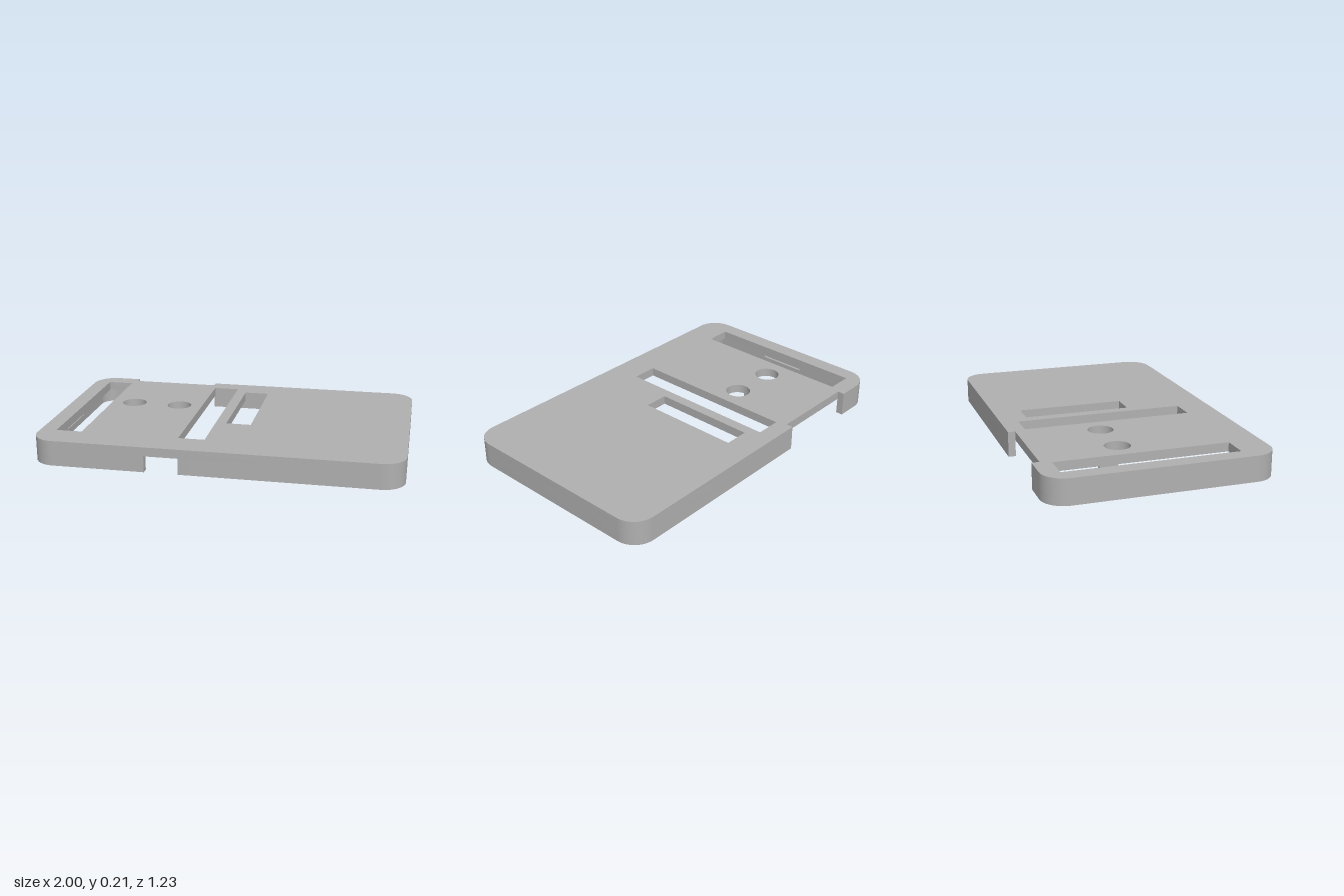
import * as THREE from 'three';
import { toCreasedNormals } from 'three/addons/utils/BufferGeometryUtils.js';

const D = 0.613;  // half depth
const R = 0.125;  // outer corner radius
const T = 0.04;   // wall thickness
const TOP = 0.21, UNDER = 0.16, RIM = 0.07; // plate top, plate underside, wall bottom

// Points of a rounded corner; sx and sz choose the corner, from angle a to b
function corner(sx, sz, r, fromBackOrFront) {
  const pts = [];
  for (let i = 0; i <= 12; i++) {
    const t = (fromBackOrFront ? i : 12 - i) / 12 * Math.PI / 2;
    pts.push(new THREE.Vector2(sx * (1 - R + r * Math.sin(t)), sz * (D - R + r * Math.cos(t))));
  }
  return pts;
}

const v = (x, z) => new THREE.Vector2(x, z);

// Extrudes an (x, z) outline downwards from yTop to yBottom
function slab(shape, yTop, yBottom) {
  const geo = new THREE.ExtrudeGeometry(shape, { depth: yTop - yBottom, bevelEnabled: false, curveSegments: 24 });
  geo.rotateX(Math.PI / 2);
  geo.translate(0, yTop, 0);
  return toCreasedNormals(geo, 0.5);
}

// C-shaped half of the wall, ending at xBack and xFront, with an optional inner groove
function wallShape(s, xBack, xFront, groove) {
  const inner = R - T;
  const pts = [
    v(xBack, -D), ...corner(s, -1, R, true), ...corner(s, 1, R, false), v(xFront, D),
    v(xFront, D - T), ...corner(s, 1, inner, true),
  ];
  if (groove) {
    const a = s * (1 - T), b = s * (1 - T + 0.015);
    pts.push(v(a, 0.14), v(b, 0.14), v(b, -0.14), v(a, -0.14));
  }
  pts.push(...corner(s, -1, inner, false), v(xBack, -D + T));
  return new THREE.Shape(pts);
}

export function createModel() {
  const model = new THREE.Group();
  model.name = 'caseLid';
  const grey = new THREE.MeshStandardMaterial({ color: 0xb0b0b0 });
  grey.name = 'grey plastic';

  const add = (name, geo) => {
    const mesh = new THREE.Mesh(geo, grey);
    mesh.name = name;
    model.add(mesh);
    return mesh;
  };

  // Top plate with the back notch, slots and round holes
  const plate = new THREE.Shape([
    v(-0.24, -D), ...corner(1, -1, R, true), ...corner(1, 1, R, false),
    ...corner(-1, 1, R, true), ...corner(-1, -1, R, false),
    v(-0.74, -D), v(-0.74, -D + T), v(-0.24, -D + T),
  ]);
  const slots = [[-0.91, -0.765, -0.515, 0.435], [-0.22, -0.075, -0.515, 0.435], [-0.015, 0.125, -0.455, 0.145]];
  for (const [x0, x1, z0, z1] of slots) {
    plate.holes.push(new THREE.Path([v(x0, z0), v(x0, z1), v(x1, z1), v(x1, z0)]));
  }
  for (const x of [-0.63, -0.355]) {
    plate.holes.push(new THREE.Path().absarc(x, -0.13, 0.07, 0, Math.PI * 2, true));
  }
  add('topPlate', slab(plate, TOP, UNDER));

  // Side walls, parted by the front and back openings
  add('leftWall', slab(wallShape(1, -0.24, -0.18, false), UNDER, RIM));
  const layers = [[UNDER, 0.142, false], [0.142, 0.108, true], [0.108, RIM, false]];
  for (const [y1, y0, groove] of layers) {
    add(groove ? 'rightWallGroove' : 'rightWall', slab(wallShape(-1, -0.74, -0.365, groove), y1, y0));
  }

  // Pegs hanging from the underside of the plate
  const pegs = [
    ['buttonPeg', -0.51, -0.475, 0, -0.185, -0.08],
    ['supportPeg', 0.785, 0.845, 0.042, 0.13, 0.19],
    ['supportPeg', 0.785, 0.845, 0.042, 0.315, 0.375],
  ];
  for (const [name, x0, x1, y0, z0, z1] of pegs) {
    const h = UNDER + 0.005 - y0;
    add(name, new THREE.BoxGeometry(x1 - x0, h, z1 - z0))
      .position.set((x0 + x1) / 2, y0 + h / 2, (z0 + z1) / 2);
  }

  return model;
}
